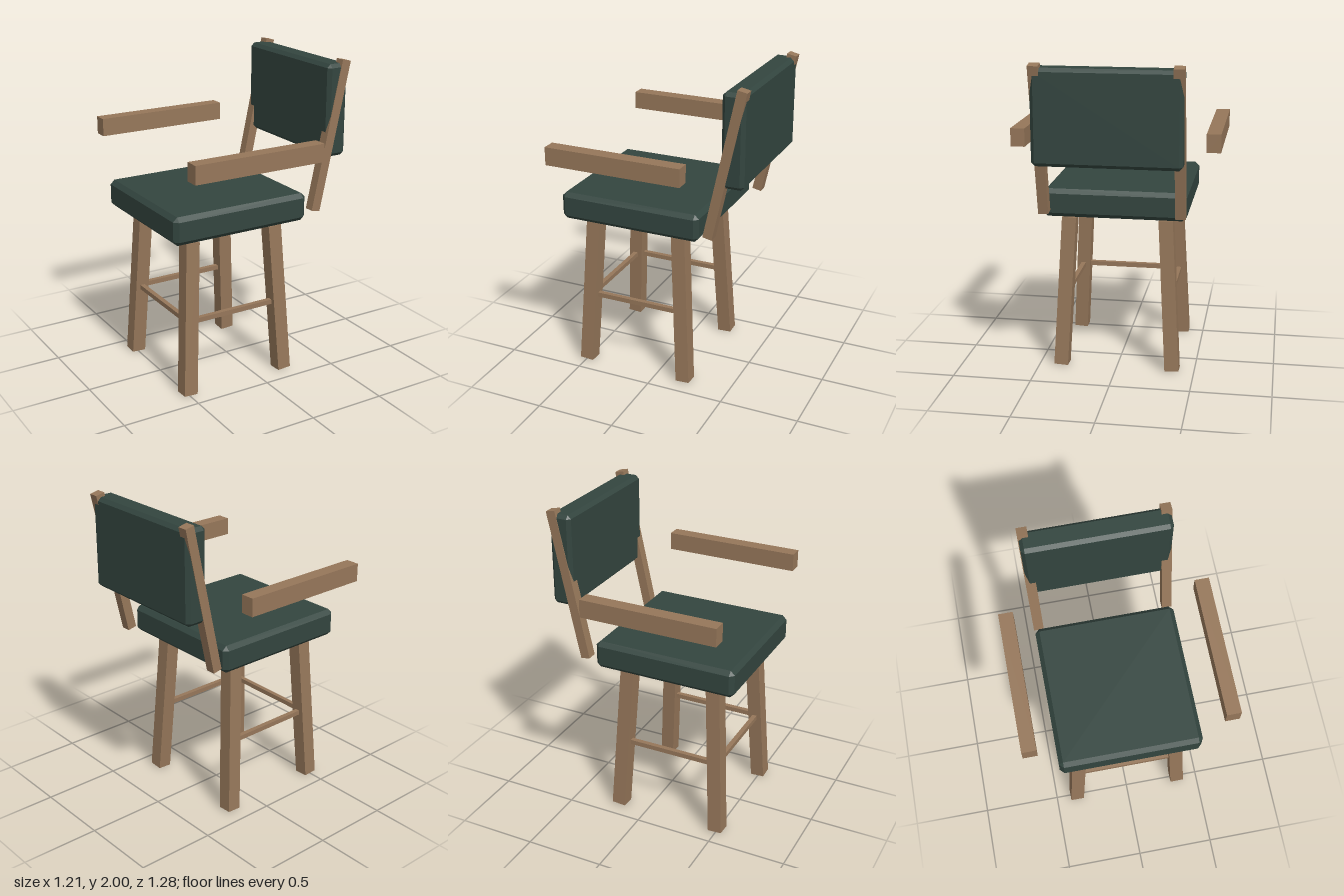
import * as THREE from 'three';
import { ConvexGeometry } from 'three/addons/geometries/ConvexGeometry.js';

const wood = new THREE.MeshStandardMaterial({ color: 0x96775a });
wood.name = 'wood';
const upholstery = new THREE.MeshStandardMaterial({ color: 0x33453f });
upholstery.name = 'dark green upholstery';

// Box whose twelve edges are cut flat by c
function chamferedBox(w, h, d, c) {
  const points = [];
  for (const x of [-1, 1]) for (const y of [-1, 1]) for (const z of [-1, 1]) {
    const [a, b, e] = [w / 2, h / 2, d / 2];
    points.push(
      new THREE.Vector3(x * a, y * (b - c), z * (e - c)),
      new THREE.Vector3(x * (a - c), y * b, z * (e - c)),
      new THREE.Vector3(x * (a - c), y * (b - c), z * e)
    );
  }
  return new ConvexGeometry(points);
}

export function createModel() {
  const model = new THREE.Group();
  model.name = 'barStool';

  const add = (name, geometry, material, x, y, z) => {
    const mesh = new THREE.Mesh(geometry, material);
    mesh.name = name;
    mesh.position.set(x, y, z);
    model.add(mesh);
    return mesh;
  };

  // Cushions
  add('seatCushion', chamferedBox(0.92, 0.176, 0.89, 0.027), upholstery, -0.15, 1.108, 0);
  add('backCushion', chamferedBox(0.142, 0.576, 0.89, 0.022), upholstery, 0.521, 1.688, 0);

  // Armrests and leaning back posts, mirrored in z
  const armGeometry = new THREE.BoxGeometry(0.87, 0.113, 0.088);
  const postGeometry = new THREE.BoxGeometry(0.06, 0.945, 0.063);
  for (const s of [-1, 1]) {
    add('armrest', armGeometry, wood, -0.15, 1.507, s * 0.598);
    add('backPost', postGeometry, wood, 0.475, 1.532, s * 0.418).rotation.z = -0.213;
  }

  // Four splayed legs
  const legX = -0.15;
  const legGeometry = new THREE.BoxGeometry(0.09, 0.98, 0.09);
  for (const sx of [-1, 1]) for (const sz of [-1, 1]) {
    const leg = add('leg', legGeometry, wood, legX + sx * 0.318, 0.495, sz * 0.332);
    leg.rotation.set(-sz * 0.055, 0, sx * 0.056);
  }

  // Stretchers on three sides
  const sideGeometry = new THREE.BoxGeometry(0.6, 0.03, 0.03);
  for (const s of [-1, 1]) add('sideStretcher', sideGeometry, wood, legX, 0.475, s * 0.333);
  add('frontStretcher', new THREE.BoxGeometry(0.03, 0.03, 0.63), wood, legX - 0.319, 0.475, 0);

  return model;
}
